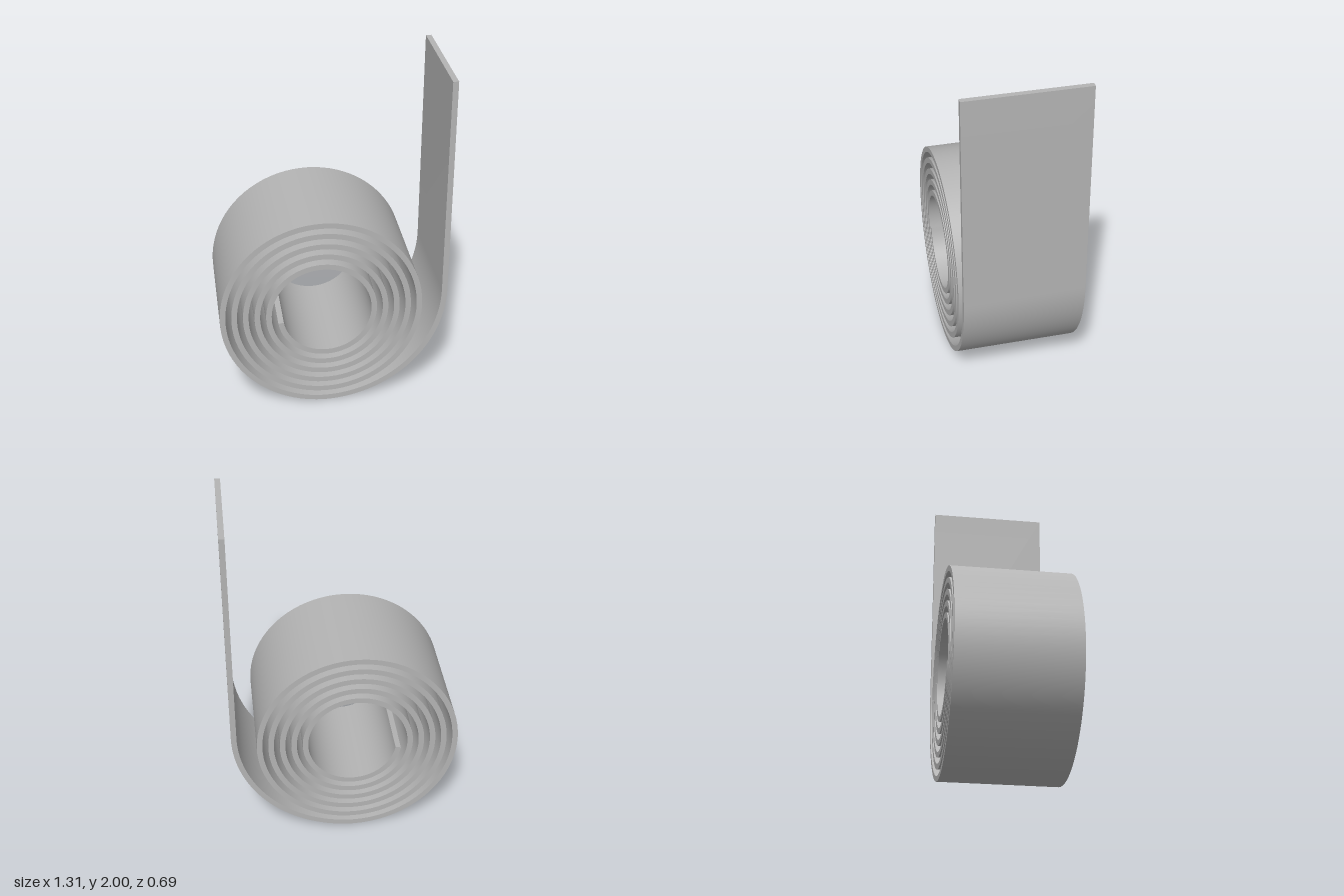
import * as THREE from 'three';
import { toCreasedNormals } from 'three/addons/utils/BufferGeometryUtils.js';

const THICKNESS = 0.032;
const WIDTH = 0.694;
const PITCH = 0.066;
const CX = -0.057;
const CY = 0.617;
const TAIL_X = 0.639;

// Samples of the strip's centreline, each with its outward direction
function centreline() {
  const samples = [];
  const add = (cx, cy, r, a) => samples.push({
    x: cx + r * Math.cos(a), y: cy + r * Math.sin(a), nx: Math.cos(a), ny: Math.sin(a),
  });

  // Coil: evenly widening spiral from the inner end to the lowest point
  const start = Math.PI + 0.2, end = Math.PI * 11.5, coilSteps = 420;
  const radius = (a) => 0.2545 + PITCH * (a - Math.PI) / (2 * Math.PI);
  for (let i = 0; i <= coilSteps; i++) {
    const a = start + (end - start) * i / coilSteps;
    add(CX, CY, radius(a), a);
  }

  // Wide quarter bend that leaves the coil and turns upright
  const bottom = CY - radius(end), bend = TAIL_X - CX, bendSteps = 32;
  for (let i = 1; i <= bendSteps; i++) {
    add(CX, bottom + bend, bend, -Math.PI / 2 + (Math.PI / 2) * i / bendSteps);
  }

  // Straight tail
  samples.push({ x: TAIL_X, y: 2, nx: 1, ny: 0 });
  return samples;
}

export function createModel() {
  const model = new THREE.Group();
  model.name = 'spiralSpring';
  const steel = new THREE.MeshStandardMaterial({ color: 0xb4b4b4 });
  steel.name = 'steel grey';

  // Strip outline: outer edge forwards, inner edge back
  const line = centreline();
  const edge = (d) => line.map((p) => new THREE.Vector2(p.x + p.nx * d, p.y + p.ny * d));
  const outline = new THREE.Shape([...edge(THICKNESS / 2), ...edge(-THICKNESS / 2).reverse()]);

  const geometry = new THREE.ExtrudeGeometry(outline, { depth: WIDTH, bevelEnabled: false });
  geometry.translate(0, 0, -WIDTH / 2);
  const strip = new THREE.Mesh(toCreasedNormals(geometry, 0.6), steel);
  strip.name = 'coiledStrip';
  model.add(strip);
  return model;
}
